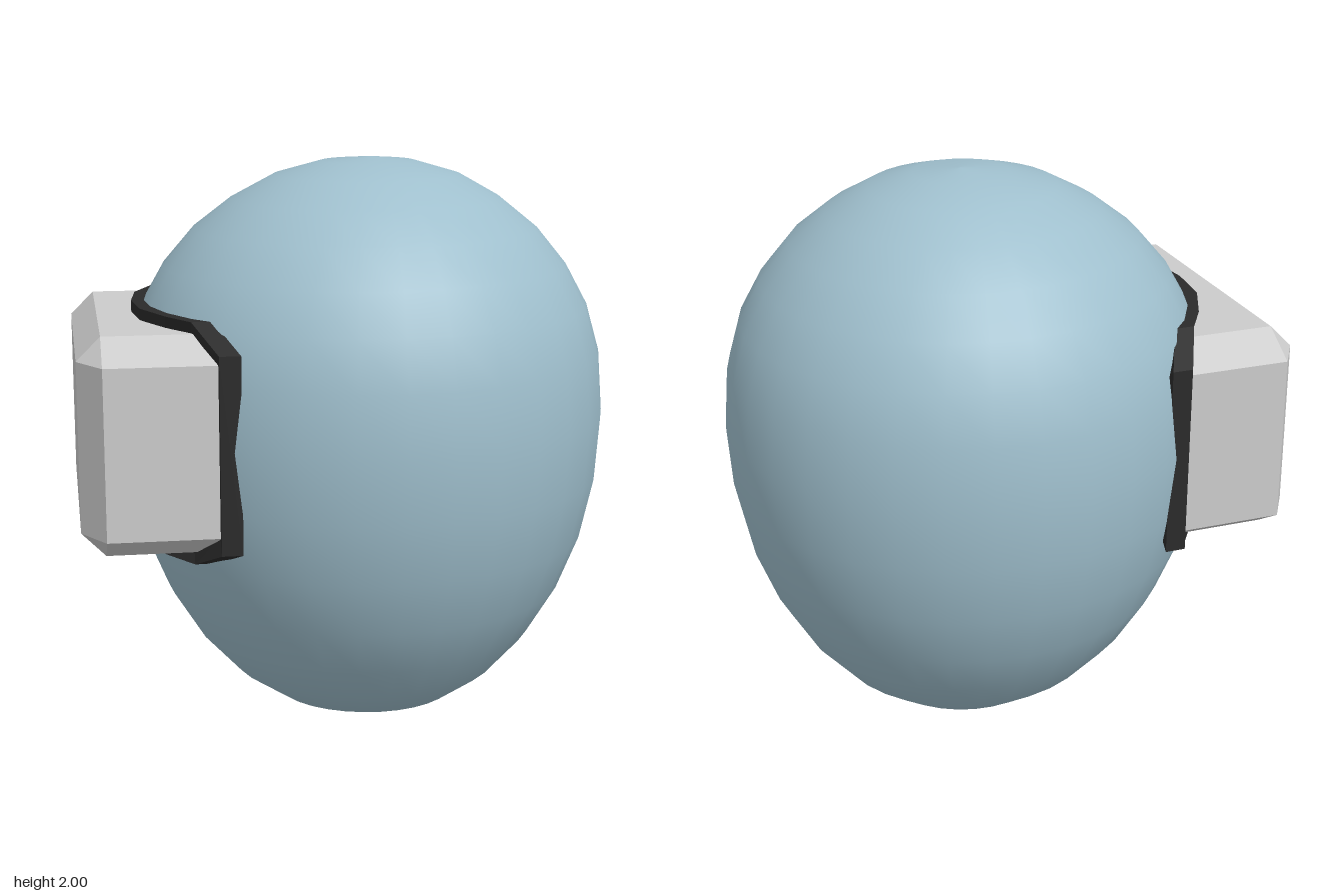
import * as THREE from 'three';

const MID_Y = 1.115; // height of the side box centre

// Flat-shaded surface through closed rings of [x, y, z] points.
function loft(rings, { closed = false, cap = false } = {}) {
  const pos = [];
  const tri = (...pts) => pts.forEach(p => pos.push(...p));
  const n = rings[0].length;
  const count = closed ? rings.length : rings.length - 1;
  for (let i = 0; i < count; i++) {
    const r = rings[i], s = rings[(i + 1) % rings.length];
    for (let j = 0; j < n; j++) {
      const k = (j + 1) % n;
      tri(r[j], s[j], s[k]);
      tri(r[j], s[k], r[k]);
    }
  }
  if (cap) {
    const e = rings[rings.length - 1];
    for (let j = 1; j < n - 1; j++) tri(e[0], e[j + 1], e[j]);
  }
  const g = new THREE.BufferGeometry();
  g.setAttribute('position', new THREE.Float32BufferAttribute(pos, 3));
  g.computeVertexNormals();
  return g;
}

function mesh(name, geometry, color, flatShading) {
  const m = new THREE.Mesh(geometry, new THREE.MeshStandardMaterial({ color, flatShading }));
  m.name = name;
  return m;
}

// Smooth egg, narrower toward the bottom and slightly fuller on the box side.
function eggBody() {
  const heights = [0.005, 0.03, 0.09, 0.19, 0.33, 0.5, 0.69, 0.9, 1.12, 1.33, 1.495, 1.635, 1.76, 1.86, 1.94, 1.985, 2];
  const profile = heights.map((y, i) => new THREE.Vector2(0.82 * Math.sin(Math.PI * i / 16), y));
  const g = new THREE.LatheGeometry(profile, 32);
  const p = g.attributes.position;
  for (let i = 0; i < p.count; i++) {
    const x = p.getX(i);
    p.setX(i, x < 0 ? x * 1.05 : x);
    p.setZ(i, p.getZ(i) * 0.983);
  }
  g.translate(0.1, 0, 0);
  return mesh('eggBody', g, 0x9fbfcd, false);
}

// Octagonal section at x: half sizes h, w with corners cut by ch, cw.
function octagon(x, h, w, ch, cw) {
  return [
    [h, -w + cw], [h, w - cw], [h - ch, w], [-h + ch, w],
    [-h, w - cw], [-h, -w + cw], [-h + ch, -w], [h - ch, -w],
  ].map(([y, z]) => [x, MID_Y + y, z]);
}

// Box with chamfered edges, sunk into the egg.
function sideBox() {
  const g = loft([
    octagon(-0.42, 0.365, 0.593, 0.08, 0.13),
    octagon(-0.845, 0.365, 0.593, 0.08, 0.13),
    octagon(-0.925, 0.285, 0.463, 0, 0),
  ], { cap: true });
  return mesh('sideBox', g, 0xcccccc, true);
}

// Dark seal around the box, curved to follow the egg.
function sealBand() {
  const edge = [[0.47, -0.495], [0.35, -0.57], [0.18, -0.645], [0, -0.665], [-0.18, -0.645], [-0.35, -0.57], [-0.47, -0.495]];
  const top = edge.map(([z, x]) => [x, 0.405, z]);
  const bottom = edge.map(([z, x]) => [x - 0.025 * (1 - Math.abs(z) / 0.47), -0.405, z]).reverse();
  const path = [
    ...top, [-0.42, 0.32, -0.627], [-0.42, -0.335, -0.627],
    ...bottom, [-0.42, -0.335, 0.627], [-0.42, 0.32, 0.627],
  ];
  const rings = path.map(([x, y, z]) => {
    const yo = MID_Y + y, yi = MID_Y + y * 0.85, zi = z * 0.92;
    return [[x + 0.01, yo, z], [x - 0.06, yo, z], [x - 0.06, yi, zi], [x + 0.01, yi, zi]];
  });
  return mesh('sealBand', loft(rings, { closed: true }), 0x2a2a2a, true);
}

export function createModel() {
  const group = new THREE.Group();
  group.name = 'eggWithSideBox';
  group.add(eggBody(), sideBox(), sealBand());
  return group;
}
